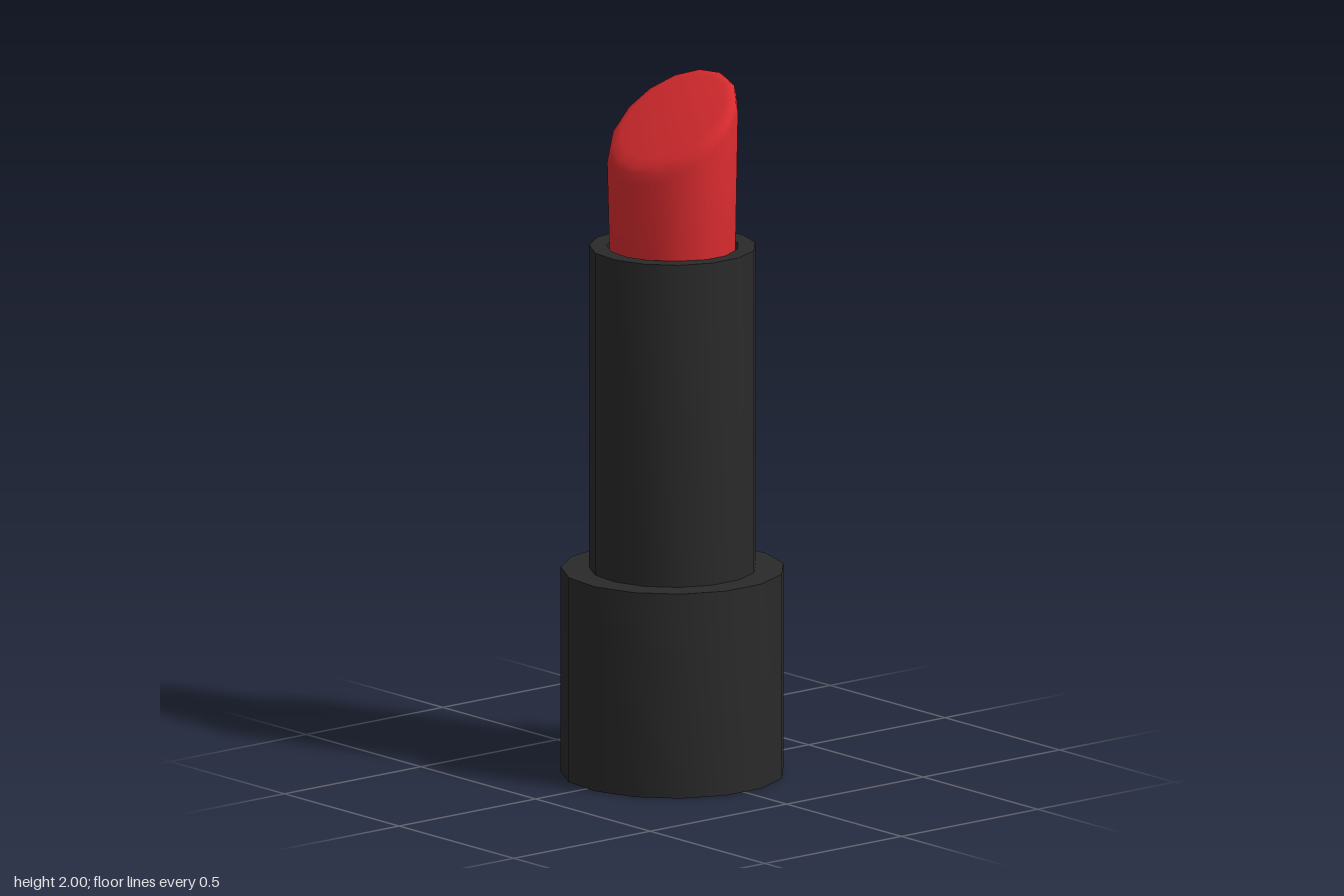
import * as THREE from 'three';
import { toCreasedNormals } from 'three/addons/utils/BufferGeometryUtils.js';

const SIDES = 15;
const dark = new THREE.MeshStandardMaterial({ color: 0x2a2a2a });
const red = new THREE.MeshStandardMaterial({ color: 0xd92b2f });

// Turned part with one corner pointing to the back
function turned(name, profile) {
  const points = profile.map(([r, y]) => new THREE.Vector2(r, y));
  const geometry = new THREE.LatheGeometry(points, SIDES, Math.PI);
  const mesh = new THREE.Mesh(toCreasedNormals(geometry, 0.6), dark);
  mesh.name = name;
  return mesh;
}

// Oval stick cut by a slanted plane, with a rounded rim
function bulletGeometry() {
  const slant = x => 1.893 + 0.74 * x;
  const rx = 0.168, rz = 0.206;
  const rings = [
    { sx: rx, sz: 0.188, y: () => 1.3 },
    { sx: rx, sz: 0.192, y: () => 1.52 },
    // scale of the rim ring and its drop below the cut plane
    ...[[1, 0.045], [0.97, 0.018], [0.92, 0.007], [0.8, 0]].map(([s, drop]) =>
      ({ sx: rx * s, sz: rz * s, y: x => slant(x) - drop })),
  ];
  const positions = [], index = [];
  for (const { sx, sz, y } of rings) {
    for (let i = 0; i < SIDES; i++) {
      const a = Math.PI + (i / SIDES) * Math.PI * 2;
      const x = sx * Math.sin(a);
      positions.push(x, y(x), sz * Math.cos(a));
    }
  }
  const bottom = rings.length * SIDES, top = bottom + 1;
  positions.push(0, 1.3, 0, 0, slant(0), 0);
  const last = (rings.length - 1) * SIDES;
  for (let i = 0; i < SIDES; i++) {
    const j = (i + 1) % SIDES;
    for (let r = 0; r < last; r += SIDES) {
      index.push(r + i, r + j, r + SIDES + j, r + i, r + SIDES + j, r + SIDES + i);
    }
    index.push(bottom, j, i, top, last + i, last + j);
  }
  const geometry = new THREE.BufferGeometry();
  geometry.setAttribute('position', new THREE.Float32BufferAttribute(positions, 3));
  geometry.setIndex(index);
  return toCreasedNormals(geometry, 1);
}

export function createModel() {
  const model = new THREE.Group();
  model.name = 'lipstick';

  // Wide foot
  model.add(turned('base', [[0, 0], [0.315, 0], [0.315, 0.59], [0, 0.59]]));

  // Hollow holder tube
  model.add(turned('holderTube',
    [[0.235, 0.59], [0.235, 1.52], [0.186, 1.52], [0.186, 1.3], [0, 1.3]]));

  // Slanted colour stick
  const bullet = new THREE.Mesh(bulletGeometry(), red);
  bullet.name = 'bullet';
  model.add(bullet);

  // Odd side count: shift so the outline is centred front to back
  for (const part of model.children) part.position.z = 0.0035;
  return model;
}
